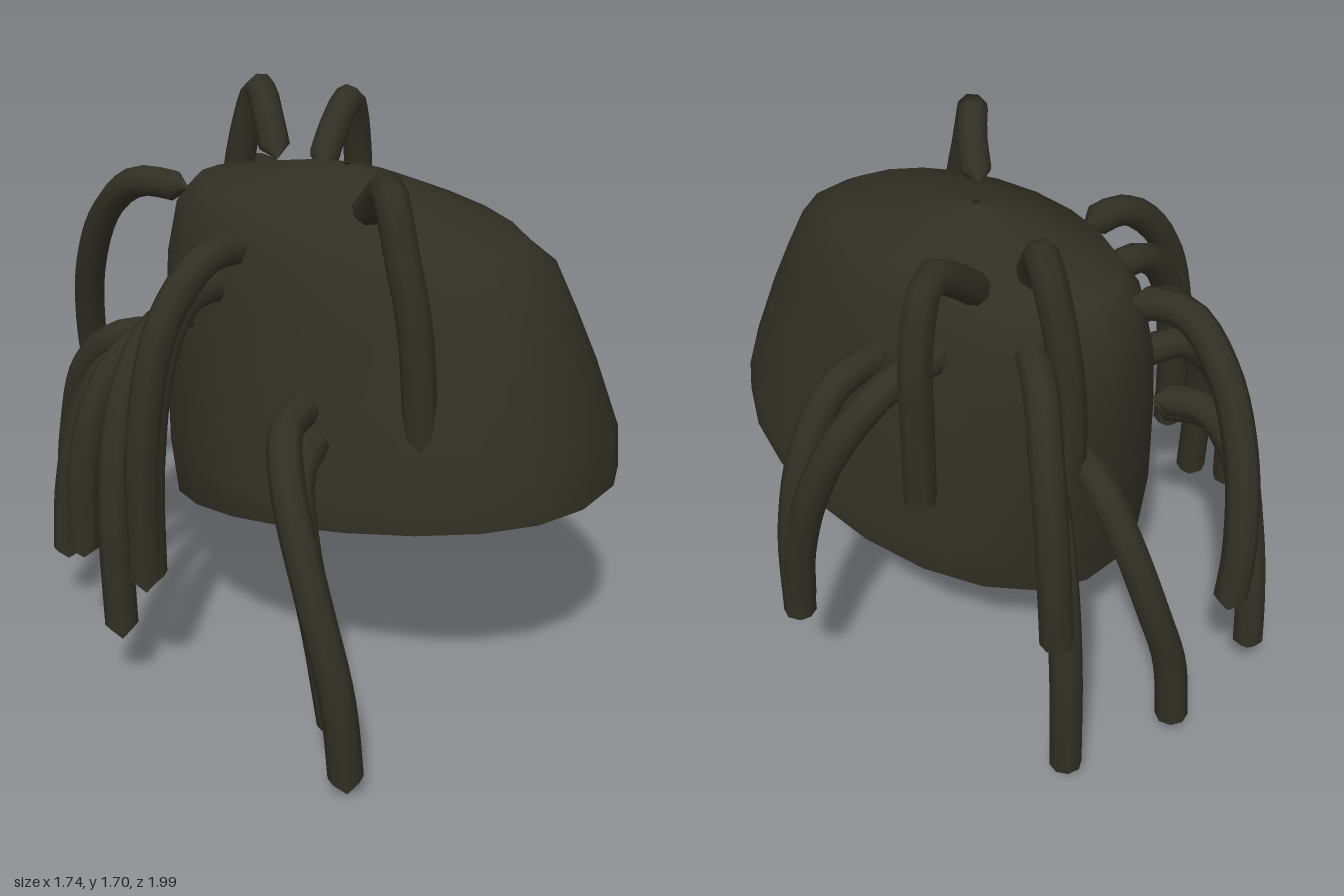
import * as THREE from 'three';

const hair = new THREE.MeshStandardMaterial({ color: 0x302f24, side: THREE.DoubleSide });
hair.name = 'dark olive hair';

// Open cap: tilted egg-shaped rings lofted from crown to rim
// [halfWidth, zFront, zBack, yFront, ySide, yBack]
const RINGS = [
  [0.012, 0.115, 0.09, 1.52, 1.52, 1.52],
  [0.15, 0.42, -0.17, 1.435, 1.48, 1.48],
  [0.29, 0.70, -0.43, 1.345, 1.42, 1.43],
  [0.36, 0.79, -0.50, 1.29, 1.30, 1.36],
  [0.41, 0.86, -0.53, 1.15, 1.13, 1.2],
  [0.46, 0.925, -0.53, 1.0, 0.96, 0.98],
  [0.55, 0.99, -0.50, 0.80, 0.67, 0.65],
  [0.55, 1.0, -0.47, 0.66, 0.58, 0.42],
];

function capGeometry(sides = 22) {
  const pos = [], index = [];
  RINGS.forEach(([hx, zf, zb, yf, ys, yb], r) => {
    for (let i = 0; i < sides; i++) {
      const a = ((i + 0.5) / sides) * Math.PI * 2;
      const s = Math.sin(a), c = Math.cos(a);
      // front half is slightly squarer than the back
      const w = c > 0 ? Math.sign(s) * Math.abs(s) ** 0.88 : s;
      const y = ys + c * (yf - yb) / 2 + c * c * ((yf + yb) / 2 - ys);
      pos.push(0.02 + hx * w, y, (zf + zb) / 2 + c * (zf - zb) / 2);
      if (r === RINGS.length - 1) continue;
      const j = (i + 1) % sides, p = r * sides, q = p + sides;
      index.push(p + i, q + i, q + j, p + i, q + j, p + j);
    }
  });
  const g = new THREE.BufferGeometry();
  g.setAttribute('position', new THREE.Float32BufferAttribute(pos, 3));
  g.setIndex(index);
  g.computeVertexNormals();
  return g;
}

// One lock: a round tube whose two end rings close to a point
function lockGeometry(points) {
  const curve = new THREE.CatmullRomCurve3(points.map((p) => new THREE.Vector3(...p)));
  const segs = 22, sides = 8;
  const g = new THREE.TubeGeometry(curve, segs, 0.05, sides);
  const pos = g.attributes.position;
  for (const ring of [0, segs]) {
    const c = curve.getPointAt(ring / segs);
    for (let i = 0; i <= sides; i++) pos.setXYZ(ring * (sides + 1) + i, c.x, c.y, c.z);
  }
  return g;
}

// Lock paths from root to tip
const LOCKS = {
  rightCrownLock: [[-.16, 1.43, .28], [-.24, 1.52, .39], [-.32, 1.57, .47], [-.355, 1.4, .54], [-.36, 1.2, .59], [-.355, .75, .62]],
  rightFrontLockUpper: [[-.44, .95, .3], [-.62, .93, .34], [-.74, .8, .44], [-.81, .55, .57], [-.83, .3, .66], [-.82, 0, .69]],
  rightFrontLockLower: [[-.44, .85, .32], [-.62, .8, .38], [-.71, .65, .46], [-.76, .4, .56], [-.77, .13, .62]],
  leftSideLockFront: [[.4, 1.18, .09], [.6, 1.16, .085], [.73, 1.0, .08], [.8, .75, .075], [.815, .37, .07]],
  leftSideLockBack: [[.36, 1.27, -.13], [.55, 1.26, -.12], [.7, 1.14, -.08], [.78, .95, -.02], [.81, .7, .04], [.81, .43, .07]],
  leftCrownLock: [[.24, 1.42, -.15], [.36, 1.53, -.18], [.48, 1.6, -.2], [.55, 1.42, -.215], [.56, 1.15, -.22], [.56, .84, -.22]],
  leftTopLock: [[.13, 1.46, -.24], [.18, 1.57, -.31], [.25, 1.65, -.4], [.26, 1.45, -.48], [.25, 1.2, -.51], [.25, .95, -.51]],
  leftBackLockUpper: [[.27, 1.37, -.37], [.36, 1.34, -.5], [.44, 1.15, -.61], [.48, .85, -.68], [.48, .55, -.7]],
  leftBackLockLower: [[.24, .9, -.42], [.33, .87, -.54], [.4, .7, -.64], [.44, .45, -.7], [.45, .02, -.72]],
  backLockLeft: [[.17, 1.0, -.44], [.22, .98, -.6], [.23, .85, -.72], [.2, .6, -.82], [.16, .4, -.86], [.15, .13, -.88]],
  backLockCenter: [[-.08, 1.38, -.43], [-.13, 1.39, -.6], [-.12, 1.27, -.75], [-.08, 1.05, -.87], [-.02, .8, -.94], [.02, .58, -.95]],
  backLockRight: [[-.22, .95, -.42], [-.31, .93, -.55], [-.33, .8, -.68], [-.31, .55, -.77], [-.28, .35, -.82], [-.27, .13, -.84]],
  rightBackLock: [[-.25, .9, -.4], [-.37, .86, -.52], [-.43, .7, -.6], [-.47, .45, -.64], [-.49, .18, -.65]],
  rightSideLockRear: [[-.3, 1.0, -.28], [-.45, 1.0, -.34], [-.58, .85, -.39], [-.64, .65, -.41], [-.665, .33, -.41]],
  rightSideLockLow: [[-.33, 1.1, -.2], [-.5, 1.08, -.23], [-.65, .9, -.23], [-.74, .6, -.2], [-.765, .17, -.17]],
  rightSideLockMiddle: [[-.33, 1.2, -.1], [-.5, 1.19, -.11], [-.63, 1.05, -.1], [-.71, .75, -.09], [-.73, .36, -.08]],
  rightSideLockTop: [[-.33, 1.33, -.01], [-.5, 1.33, -.03], [-.66, 1.17, -.06], [-.74, .85, -.08], [-.75, .35, -.08]],
};

export function createModel() {
  const group = new THREE.Group();
  group.name = 'lockedHair';
  const add = (name, geometry) => {
    const mesh = new THREE.Mesh(geometry, hair);
    mesh.name = name;
    group.add(mesh);
  };
  add('hairCap', capGeometry());
  for (const [name, points] of Object.entries(LOCKS)) add(name, lockGeometry(points));
  return group;
}
